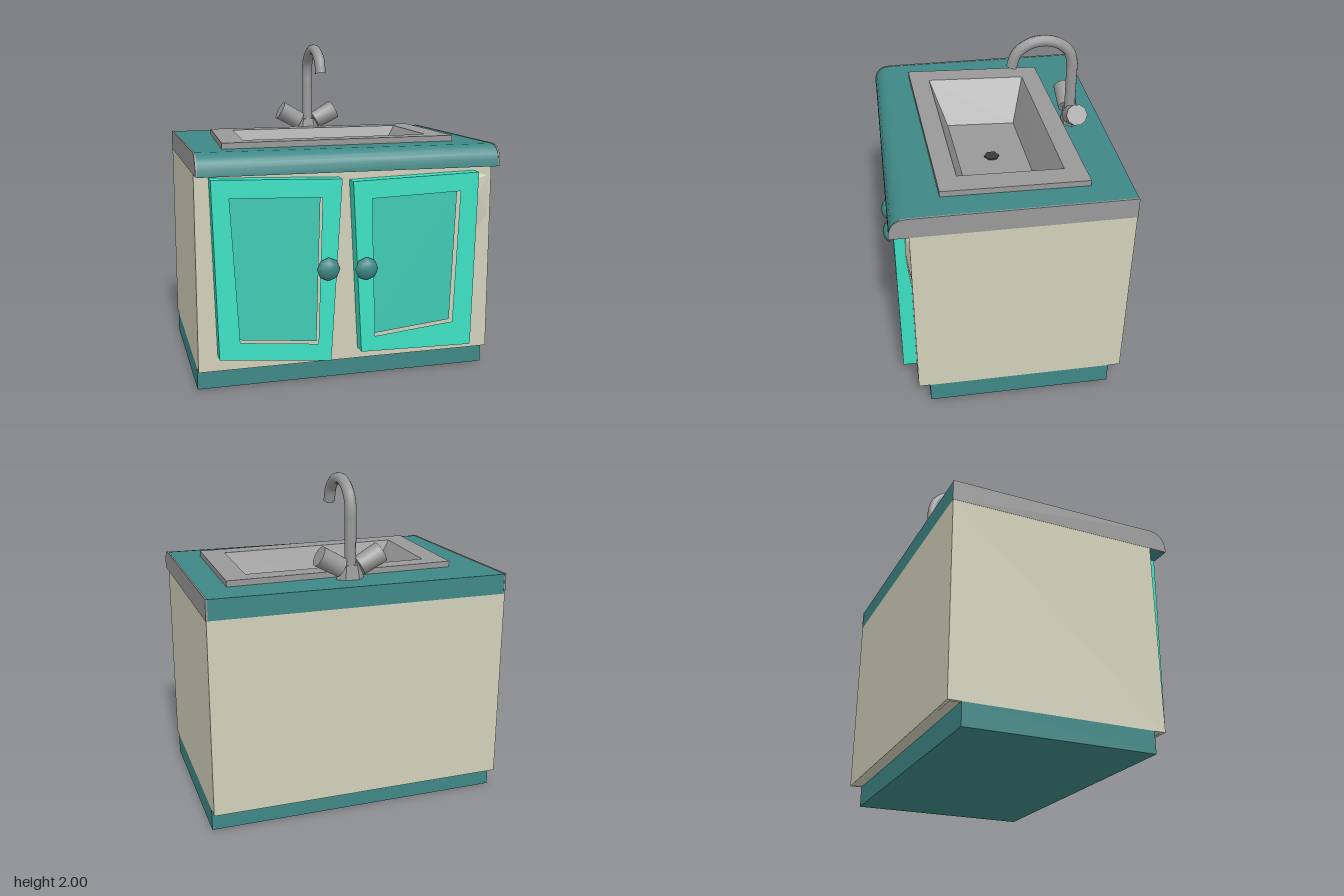
import * as THREE from 'three';
import { toCreasedNormals } from 'three/addons/utils/BufferGeometryUtils.js';
import { ConvexGeometry } from 'three/addons/geometries/ConvexGeometry.js';

const paint = (color, opts = {}) => new THREE.MeshStandardMaterial({ color, ...opts });
const cream = paint(0xd2d0ba);
const teal = paint(0x3e8886);
const mint = paint(0x3ce2c4);
const mintPanel = paint(0x3ecab4);
const grey = paint(0x999999);
const basinGrey = paint(0x999999, { flatShading: true, side: THREE.DoubleSide });
const dark = paint(0x3c3c36);

const toV2 = pts => pts.map(([x, y]) => new THREE.Vector2(x, y));

function extrude(outer, depth, hole) {
  const shape = new THREE.Shape(toV2(outer));
  if (hole) shape.holes.push(new THREE.Path(toV2(hole)));
  return new THREE.ExtrudeGeometry(shape, { depth, bevelEnabled: false });
}

// Outline in x and z, extruded downwards from height top
const slab = (outer, top, depth, hole) =>
  extrude(outer, depth, hole).rotateX(Math.PI / 2).translate(0, top, 0);

// Outline in z and y, extruded along x between x0 and x1
const alongX = (profile, x0, x1) =>
  extrude(profile, x1 - x0).rotateY(-Math.PI / 2).translate(x1, 0, 0);

const rect = (x0, x1, z0, z1) => [[x0, z0], [x1, z0], [x1, z1], [x0, z1]];

export function createModel() {
  const model = new THREE.Group();
  const add = (name, geometry, material, parent = model) => {
    const mesh = new THREE.Mesh(geometry, material);
    mesh.name = name;
    parent.add(mesh);
    return mesh;
  };

  // Plinth and open-topped cabinet
  add('plinth', slab(rect(-0.903, 0.9, -0.625, 0.495), 0.13, 0.13), teal);
  add('cabinetWalls', slab(rect(-0.903, 0.9, -0.7, 0.565), 1.29, 1.16,
    rect(-0.88, 0.88, -0.68, 0.545)), cream);
  add('cabinetBottom', slab(rect(-0.89, 0.89, -0.69, 0.555), 0.15, 0.018), cream);

  // Faceted bulge in the cabinet front beside the right-hand door
  const bulge = [[0.897, 1.22, 0.56], [0.897, 0.95, 0.56], [0.8, 0.9, 0.56], [0.72, 0.72, 0.56],
    [0.72, 1.26, 0.56], [0.79, 1.2, 0.585], [0.805, 1.12, 0.59], [0.785, 1.03, 0.585]];
  add('frontBulge', new ConvexGeometry(bulge.map(p => new THREE.Vector3(...p))), cream);

  // Sink outlines, slightly skewed, in x and z
  const rimOuter = [[-0.672, -0.417], [0.735, -0.47], [0.72, 0.38], [-0.725, 0.45]];
  const rimInner = [[-0.54, -0.305], [0.595, -0.345], [0.58, 0.27], [-0.58, 0.32]];
  const floorLoop = [[-0.37, -0.22], [0.42, -0.245], [0.41, 0.185], [-0.4, 0.22]];
  const cutout = rimOuter.map(([x, z], i) => [(x + rimInner[i][0]) / 2, (z + rimInner[i][1]) / 2]);

  // Countertop with sink cutout, rounded front lip and end caps
  const lip = [[0.675, 1.285], [0.672, 1.325], [0.66, 1.362], [0.638, 1.388], [0.61, 1.404], [0.57, 1.41]];
  add('countertop', slab(rect(-0.895, 0.892, -0.7, 0.57), 1.41, 0.12, cutout), teal);
  add('counterLip', toCreasedNormals(alongX([[0.57, 1.29], ...lip], -0.895, 0.892), 0.7), teal);
  const capProfile = [[-0.702, 1.288], ...lip.map(([z, y]) => [z + 0.003, y + 0.003]), [-0.702, 1.413]];
  for (const x of [-0.904, 0.892]) add('counterEndCap', alongX(capProfile, x, x + 0.01), grey);

  // Sink: raised rim, sloping basin walls and floor, drain
  const sink = new THREE.Group();
  sink.name = 'sink';
  model.add(sink);
  const rimTop = 1.445, floorY = 1.19;
  add('sinkRim', slab(rimOuter, rimTop, 0.036, rimInner), grey, sink);
  const positions = [];
  const corner = ([x, z], y) => positions.push(x, y, z);
  const quad = (a, b, c, d) => [a, b, c, a, c, d].forEach(([p, y]) => corner(p, y));
  for (let i = 0; i < 4; i++) {
    const j = (i + 1) % 4;
    quad([rimInner[i], rimTop], [floorLoop[i], floorY], [floorLoop[j], floorY], [rimInner[j], rimTop]);
  }
  quad(...[3, 2, 1, 0].map(i => [floorLoop[i], floorY]));
  const basin = new THREE.BufferGeometry();
  basin.setAttribute('position', new THREE.Float32BufferAttribute(positions, 3));
  basin.computeVertexNormals();
  add('sinkBasin', basin, basinGrey, sink);
  add('drain', new THREE.CylinderGeometry(0.048, 0.048, 0.01, 6), dark, sink).position.set(0.02, floorY + 0.003, -0.015);

  // Crooked doors: frame, recessed panel and mushroom knob
  const knobProfile = toV2([[0.03, 0], [0.032, 0.012], [0.05, 0.02], [0.07, 0.023], [0.066, 0.036],
    [0.045, 0.054], [0.02, 0.063], [0, 0.064]]);
  const doors = [
    { name: 'rightDoor', knob: [-0.153, 0.722],
      outer: [[-0.82, 1.265], [-0.065, 1.243], [-0.13, 0.158], [-0.79, 0.225]],
      inner: [[-0.718, 1.157], [-0.183, 1.14], [-0.208, 0.27], [-0.67, 0.318]] },
    { name: 'leftDoor', knob: [0.077, 0.71],
      outer: [[0, 1.225], [0.782, 1.25], [0.756, 0.18], [0.056, 0.196]],
      inner: [[0.114, 1.12], [0.666, 1.14], [0.634, 0.334], [0.14, 0.286]] },
  ];
  for (const { name, knob, outer, inner } of doors) {
    const door = new THREE.Group();
    door.name = name;
    model.add(door);
    add('doorFrame', extrude(outer, 0.085, inner), mint, door).position.z = 0.562;
    add('doorPanel', extrude(inner, 0.035), mintPanel, door).position.z = 0.562;
    add('doorKnob', toCreasedNormals(new THREE.LatheGeometry(knobProfile, 8).rotateX(Math.PI / 2), 0.9),
      teal, door).position.set(knob[0], knob[1], 0.644);
  }

  // Faucet: hexagonal base, gooseneck spout and two tilted handles
  const faucet = new THREE.Group();
  faucet.name = 'faucet';
  faucet.position.set(0.012, 0, -0.505);
  model.add(faucet);
  const base = toCreasedNormals(new THREE.CylinderGeometry(0.06, 0.078, 0.085, 6).rotateY(Math.PI / 6), 0.5);
  base.scale(1.1, 1, 0.65);
  add('faucetBase', base, grey, faucet).position.y = 1.452;

  const path = [[1.45, 0], [1.6, 0], [1.75, 0]].map(([y, z]) => new THREE.Vector3(0, y, z));
  for (let i = 0; i <= 6; i++) {
    const a = Math.PI * i / 6;
    path.push(new THREE.Vector3(0, 1.81 + 0.157 * Math.sin(a), 0.185 * (1 - Math.cos(a))));
  }
  add('spout', new THREE.TubeGeometry(new THREE.CatmullRomCurve3(path), 28, 0.034, 10), grey, faucet);
  add('spoutTip', new THREE.CircleGeometry(0.034, 10).rotateX(Math.PI / 2), grey, faucet).position.set(0, 1.81, 0.37);

  for (const side of [-1, 1]) {
    const handle = add('faucetHandle',
      toCreasedNormals(new THREE.CylinderGeometry(0.064, 0.06, 0.155, 10), 0.8), grey, faucet);
    handle.position.set(side * 0.122, 1.518, 0);
    handle.rotation.z = -side * 1.07;
  }
  return model;
}
